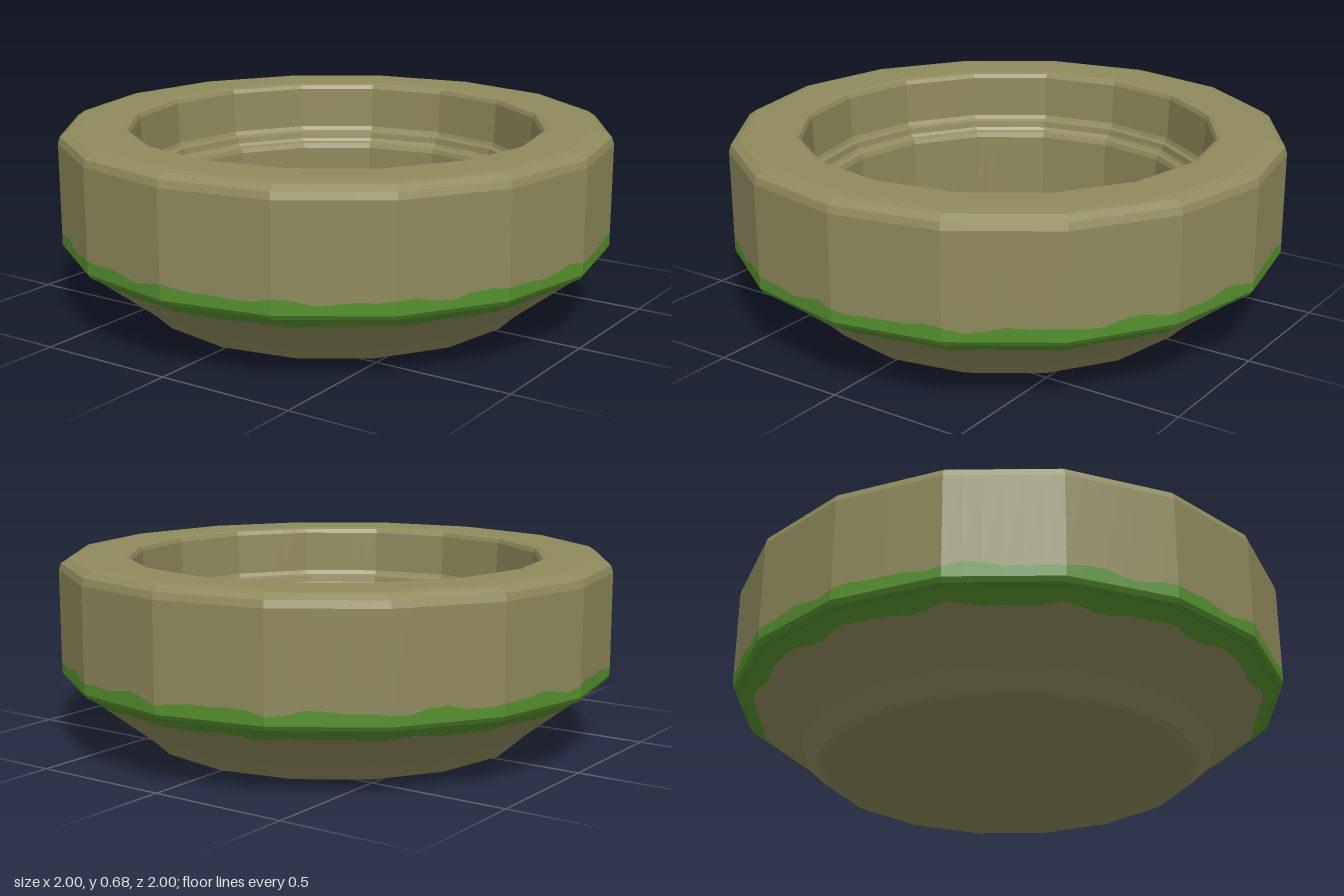
import * as THREE from 'three';

const SIDES = 16, SUB = 6, N = SIDES * SUB;

// point on a sixteen-sided ring of corner radius r at height y
function ringPoint(i, r, y) {
  const k = Math.floor(i / SUB), t = (i % SUB) / SUB;
  const a = (k * 2 * Math.PI) / SIDES, b = ((k + 1) * 2 * Math.PI) / SIDES;
  return [
    r * (Math.sin(a) * (1 - t) + Math.sin(b) * t),
    y,
    r * (Math.cos(a) * (1 - t) + Math.cos(b) * t),
  ];
}

// faceted skin through rings; a ring is [r, y] or a function of the step giving [r, y]
function loft(rings) {
  const pos = [];
  const at = (ring, i) => {
    const j = i % N;
    const [r, y] = typeof ring === 'function' ? ring(j) : ring;
    return ringPoint(j, r, y);
  };
  for (let s = 0; s < rings.length - 1; s++) {
    for (let i = 0; i < N; i++) {
      const a = at(rings[s], i), b = at(rings[s], i + 1);
      const c = at(rings[s + 1], i + 1), d = at(rings[s + 1], i);
      if (rings[s][0] !== 0) pos.push(...a, ...b, ...c);
      if (rings[s + 1][0] !== 0) pos.push(...a, ...c, ...d);
    }
  }
  const g = new THREE.BufferGeometry();
  g.setAttribute('position', new THREE.Float32BufferAttribute(pos, 3));
  g.computeVertexNormals();
  return g;
}

// ragged moss borders: one on the upright wall, one on the sloping underside
const ripple = (i, p) => {
  const a = (i / N) * 2 * Math.PI;
  return 0.55 * Math.sin(17 * a + p) + 0.45 * Math.sin(29 * a + 2 * p);
};
const mossTop = (i) => [1, 0.302 + 0.014 * ripple(i, 1)];
const mossBottom = (i) => {
  const y = 0.2 + 0.008 * ripple(i, 2.3);
  return [0.75 + ((y - 0.065) / 0.17) * 0.22, y];
};

export function createModel() {
  const stone = new THREE.MeshStandardMaterial({ color: 0x8f8a5d });
  stone.name = 'olive stone';
  const moss = new THREE.MeshStandardMaterial({ color: 0x56902f });
  moss.name = 'moss green';

  const group = new THREE.Group();
  group.name = 'stoneBasin';
  const add = (name, geometry, material) => {
    const mesh = new THREE.Mesh(geometry, material);
    mesh.name = name;
    group.add(mesh);
    return mesh;
  };

  // flat bottom and flaring underside
  add('base', loft([[0, 0], [0.67, 0], [0.69, 0.008], [0.75, 0.065], mossBottom]), stone);

  // green band round the lower edge
  add('mossBand', loft([mossBottom, [0.97, 0.235], [0.99, 0.244], [1, 0.26], mossTop]), moss);

  // upright wall with softened rim
  add('outerWall', loft([mossTop, [1, 0.63], [0.992, 0.655], [0.965, 0.673], [0.93, 0.678]]), stone);
  add('rim', loft([[0.93, 0.678], [0.77, 0.676], [0.755, 0.67], [0.748, 0.655]]), stone);

  // inside wall with a double step
  add('innerWall', loft([
    [0.748, 0.655], [0.742, 0.5], [0.735, 0.485], [0.722, 0.478],
    [0.718, 0.455], [0.71, 0.445], [0.697, 0.438], [0.69, 0.42], [0.69, 0.1], [0.68, 0.085],
  ]), stone);
  add('floor', loft([[0.68, 0.085], [0, 0.085]]), stone);

  // low round boss in the middle of the floor
  const profile = [[0.15, 0], [0.15, 0.022], [0.142, 0.034], [0.125, 0.04], [0, 0.04]]
    .map(([r, y]) => new THREE.Vector2(r, y));
  add('floorBoss', new THREE.LatheGeometry(profile, 16), stone).position.y = 0.085;

  return group;
}
